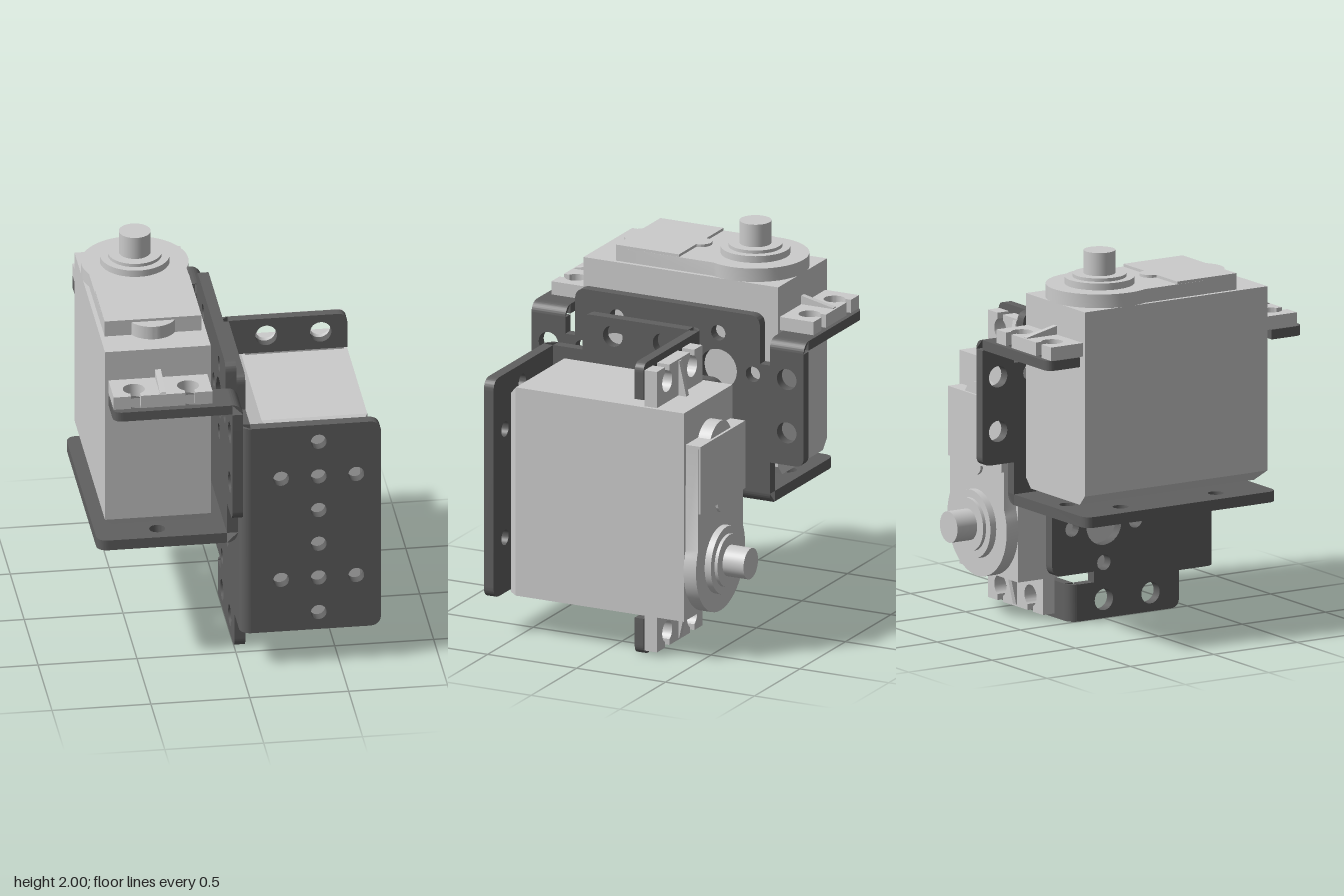
import * as THREE from 'three';
import { toCreasedNormals } from 'three/addons/utils/BufferGeometryUtils.js';

const light = new THREE.MeshStandardMaterial({ color: 0xcccccc });
const dark = new THREE.MeshStandardMaterial({ color: 0x606060 });
const T = 0.055; // sheet thickness

function add(parent, name, geo, mat, x = 0, y = 0, z = 0) {
  const m = new THREE.Mesh(geo, mat);
  m.name = name;
  m.position.set(x, y, z);
  parent.add(m);
  return m;
}

// Closed outline from [x, y, cornerRadius]
function outline(pts) {
  const s = new THREE.Shape();
  pts.forEach(([x, y, r = 0], i) => {
    const p = new THREE.Vector2(x, y);
    const near = (q) => p.clone().add(new THREE.Vector2(q[0] - x, q[1] - y).setLength(r));
    const a = near(pts[(i + pts.length - 1) % pts.length]);
    const b = near(pts[(i + 1) % pts.length]);
    if (i === 0) s.moveTo(a.x, a.y); else s.lineTo(a.x, a.y);
    if (r) s.quadraticCurveTo(x, y, b.x, b.y);
  });
  s.closePath();
  return s;
}

function drill(shape, holes) {
  for (const [x, y, r] of holes) {
    const h = new THREE.Path();
    h.absarc(x, y, r, 0, Math.PI * 2, true);
    shape.holes.push(h);
  }
  return shape;
}

function extrude(shape, depth) {
  const g = new THREE.ExtrudeGeometry(shape, { depth, bevelEnabled: false, curveSegments: 16 });
  return toCreasedNormals(g, 0.6);
}
// Shape drawn in (x, z), occupying y0..y0+h
const flat = (shape, y0, h) => extrude(shape, h).rotateX(Math.PI / 2).translate(0, y0 + h, 0);
// Shape drawn in (z, y), occupying x0..x0+w
const upright = (shape, x0, w) => extrude(shape, w).rotateY(-Math.PI / 2).translate(x0 + w, 0, 0);

// Quarter-round sheet bend running along z
function bend(cy, a0, z0, z1) {
  const s = new THREE.Shape();
  s.moveTo(T, cy);
  s.absarc(T, cy, T, a0, a0 + Math.PI / 2, false);
  s.closePath();
  return extrude(s, z1 - z0).translate(0, 0, z0);
}

// Folded bracket: upright wall at x = 0, floor and two ear flanges towards +x
function makeBracket() {
  const g = new THREE.Group();
  g.name = 'bracket';

  const half = [[0.575, T], [0.575, 0.22], [0.765, 0.22, 0.05], [0.765, 0.815],
    [0.575, 0.815], [0.575, 0.73], [0.52, 0.73], [0.52, 0.98, 0.06]];
  const wall = outline([...half, ...half.slice().reverse().map(([x, y, r]) => [-x, y, r])]);
  const floor = outline([[T, -0.575], [0.71, -0.575, 0.06], [0.71, 0.575, 0.06], [T, 0.575]]);
  for (const s of [-1, 1]) {
    drill(wall, [[s * 0.67, 0.39, 0.055], [s * 0.67, 0.67, 0.055], [s * 0.285, 0.67, 0.105],
      [s * 0.285, 0.86, 0.04], [s * 0.285, 0.48, 0.04], [s * 0.48, 0.67, 0.04], [s * 0.095, 0.67, 0.04]]);
    drill(floor, [[0.395, s * 0.095, 0.04], [0.395, s * 0.48, 0.04], [0.205, s * 0.285, 0.04],
      [0.395, s * 0.285, 0.04], [0.585, s * 0.285, 0.04]]);
    // Ear flange and its bend
    const flange = outline([[T, s * 0.575], [0.655, s * 0.575], [0.655, s * 0.765, 0.05], [T, s * 0.765]]);
    drill(flange, [[0.245, s * 0.67, 0.055], [0.52, s * 0.67, 0.055]]);
    add(g, 'earFlange', flat(flange, 0.82, 0.05), dark);
    const z0 = s > 0 ? 0.575 : -0.765;
    add(g, 'flangeBend', bend(0.815, Math.PI / 2, z0, z0 + 0.19), dark);
  }
  add(g, 'sideWall', upright(wall, 0, T), dark);
  add(g, 'floorPlate', flat(floor, 0, T), dark);
  add(g, 'floorBend', bend(T, Math.PI, -0.575, 0.575), dark);
  return g;
}

// Servo motor centred on x = 0, output shaft along +y
function makeServo() {
  const g = new THREE.Group();
  g.name = 'servo';
  const Z = -0.007;

  // Case with a chamfered foot
  const W = 0.535, L = 1.095;
  add(g, 'case', new THREE.BoxGeometry(W, 0.945, L), light, 0, 0.6275, Z);
  const foot = new THREE.BoxGeometry(W, 0.05, L);
  const p = foot.attributes.position;
  for (let i = 0; i < p.count; i++) {
    if (p.getY(i) > 0) continue;
    p.setX(i, p.getX(i) - Math.sign(p.getX(i)) * 0.045);
    if (p.getZ(i) > 0) p.setZ(i, p.getZ(i) - 0.05);
  }
  foot.computeVertexNormals();
  add(g, 'caseFoot', foot, light, 0, 0.13, Z);

  // Raised gearbox cover: plate, round shaft end and small front bulge
  const a = Math.asin(0.11 / 0.27);
  const cover = new THREE.Shape();
  cover.moveTo(0.245, 0.37);
  cover.lineTo(0.2466, -0.18);
  cover.absarc(0, -0.29, 0.27, a, Math.PI - a, true);
  cover.lineTo(-0.245, 0.37);
  cover.absarc(0, 0.31, 0.125, Math.PI - 0.5, 0.5, true);
  cover.closePath();
  add(g, 'gearCover', flat(cover, 1.1, 0.07), light);

  // Thin label plate with a half-round tongue
  const label = new THREE.Shape();
  label.moveTo(0.245, 0.37);
  label.lineTo(0.245, 0.015);
  label.lineTo(0.055, 0.015);
  label.absarc(0, 0.015, 0.055, 0, Math.PI, true);
  label.lineTo(-0.245, 0.015);
  label.lineTo(-0.245, 0.37);
  label.closePath();
  add(g, 'labelPlate', flat(label, 1.17, 0.014), light);

  // Stepped collar and output shaft
  for (const [name, r, y0, y1] of [['collar', 0.175, 1.16, 1.205], ['collarStep', 0.135, 1.2, 1.222],
    ['outputShaft', 0.08, 1.21, 1.34]]) {
    add(g, name, new THREE.CylinderGeometry(r, r, y1 - y0, 40), light, 0, (y0 + y1) / 2, -0.29);
  }

  // Mounting ears with open keyhole slots and a stiffening rib
  const ear = new THREE.Shape();
  ear.moveTo(-0.25, 0);
  ear.lineTo(0.25, 0);
  ear.lineTo(0.25, 0.19);
  for (const cx of [0.137, -0.137]) {
    ear.lineTo(cx + 0.025, 0.19);
    ear.absarc(cx, 0.11, 0.055, Math.PI / 2 - 0.47, Math.PI / 2 + 0.47, true);
    ear.lineTo(cx - 0.025, 0.19);
  }
  ear.lineTo(-0.25, 0.19);
  ear.closePath();
  const rib = outline([[0, 0.935], [0.18, 0.935], [0.18, 0.945], [0, 0.985]]);
  for (const s of [-1, 1]) {
    const end = new THREE.Group();
    end.name = 'mountingEar';
    end.position.z = Z + s * 0.547;
    end.rotation.y = s > 0 ? 0 : Math.PI;
    add(end, 'earPlate', flat(ear, 0.871, 0.069), light);
    add(end, 'earRib', upright(rib, -0.015, 0.03), light);
    g.add(end);
  }
  return g;
}

export function createModel() {
  const model = new THREE.Group();
  model.name = 'panTiltServoPair';

  // Servo with its shaft upwards, bracket folded towards -x
  const upper = new THREE.Group();
  upper.name = 'uprightUnit';
  const bracket = makeBracket();
  bracket.rotation.y = Math.PI;
  const servo = makeServo();
  servo.position.x = -0.4;
  upper.add(bracket, servo);
  upper.position.y = 0.66;

  // Same unit lying with its shaft to the back, bracket folded towards +x
  const lower = new THREE.Group();
  lower.name = 'lyingUnit';
  const servo2 = makeServo();
  servo2.position.x = 0.395;
  lower.add(makeBracket(), servo2);
  lower.rotation.x = -Math.PI / 2;
  lower.position.set(0, 0.765, 0.67);

  model.add(upper, lower);
  return model;
}
